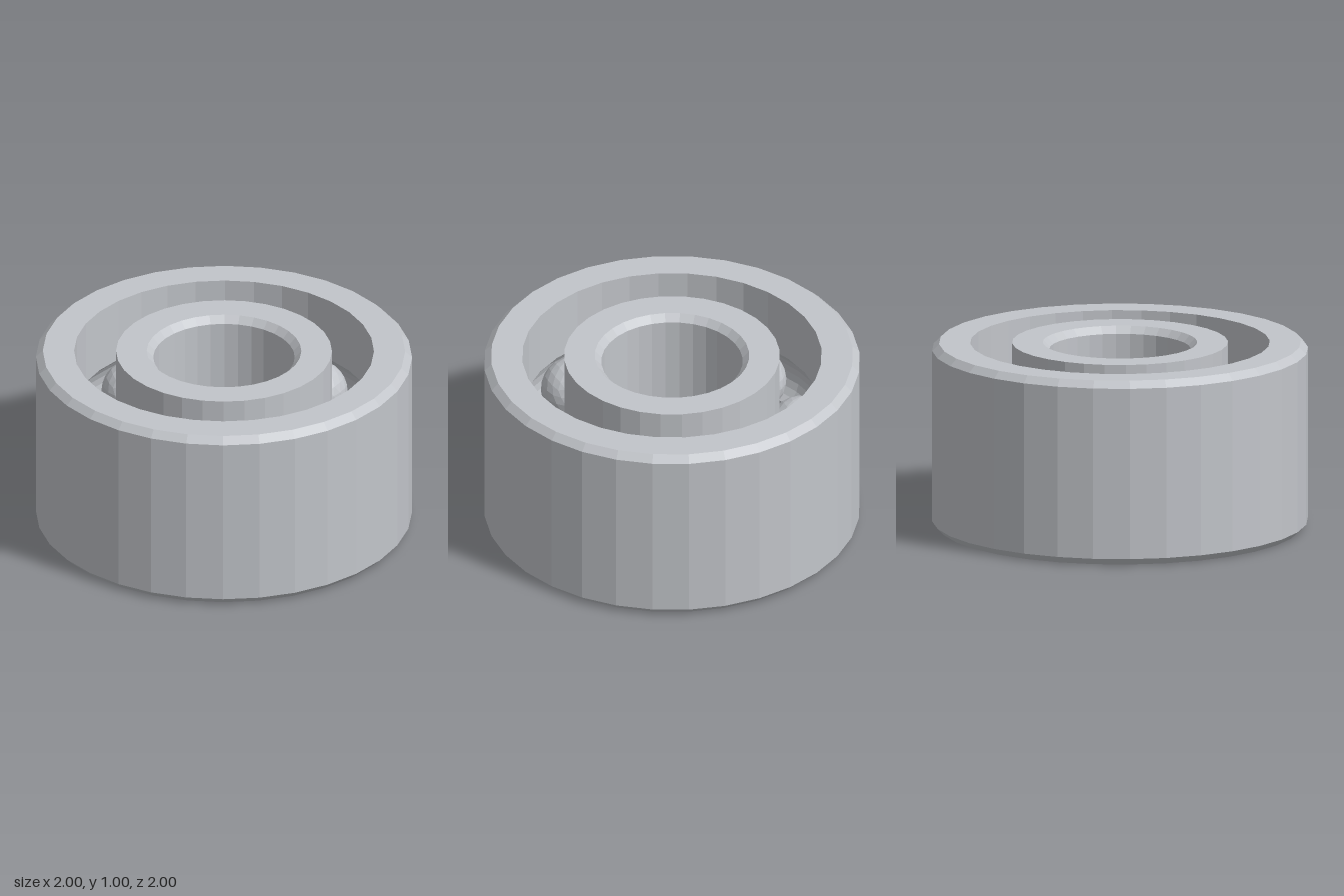
import * as THREE from 'three';

const SEGMENTS = 32;
const PITCH = 0.685;   // radius of the circle of ball centres
const BALL = 0.171;
const GROOVE = 0.185;  // radius of the race groove section
const MID = 0.5;       // height of the ball centres

// Points of a groove cut into a wall at radius r, ordered from bottom to top
function groove(r) {
  const side = Math.sign(r - PITCH);
  const half = Math.acos(Math.abs(r - PITCH) / GROOVE);
  const points = [];
  for (let i = 0; i <= 8; i++) {
    const a = -half + (2 * half * i) / 8;
    points.push([PITCH + side * GROOVE * Math.cos(a), MID + GROOVE * Math.sin(a)]);
  }
  return points;
}

// Faceted ring from a closed counter-clockwise profile
function ring(name, profile, material) {
  const points = [...profile, profile[0]].map(([x, y]) => new THREE.Vector2(x, y));
  const geometry = new THREE.LatheGeometry(points, SEGMENTS).toNonIndexed();
  geometry.computeVertexNormals();
  const mesh = new THREE.Mesh(geometry, material);
  mesh.name = name;
  return mesh;
}

export function createModel() {
  const steel = new THREE.MeshStandardMaterial({ color: 0xc2c5ca });
  steel.name = 'steel';
  const model = new THREE.Group();
  model.name = 'ballBearing';

  // Outer ring: chamfered outside, grooved inside
  model.add(ring('outerRing', [
    [0.963, 0], [1, 0.037], [1, 0.963], [0.963, 1],
    [0.797, 1], ...groove(0.797).reverse(), [0.797, 0],
  ], steel));

  // Inner ring: grooved outside, chamfered bore
  model.add(ring('innerRing', [
    [0.574, 0], ...groove(0.574), [0.574, 1],
    [0.411, 1], [0.376, 0.963], [0.376, 0.037], [0.411, 0],
  ], steel));

  // Eight faceted balls, with one vertex pointing straight up
  const ballGeometry = new THREE.IcosahedronGeometry(BALL, 3);
  ballGeometry.rotateZ(Math.atan(2 / (1 + Math.sqrt(5))));
  ballGeometry.computeVertexNormals();
  const balls = new THREE.Group();
  balls.name = 'balls';
  for (let i = 0; i < 8; i++) {
    const a = (i * Math.PI) / 4;
    const ball = new THREE.Mesh(ballGeometry, steel);
    ball.name = 'ball' + (i + 1);
    ball.position.set(PITCH * Math.sin(a), MID, PITCH * Math.cos(a));
    balls.add(ball);
  }
  model.add(balls);
  return model;
}
